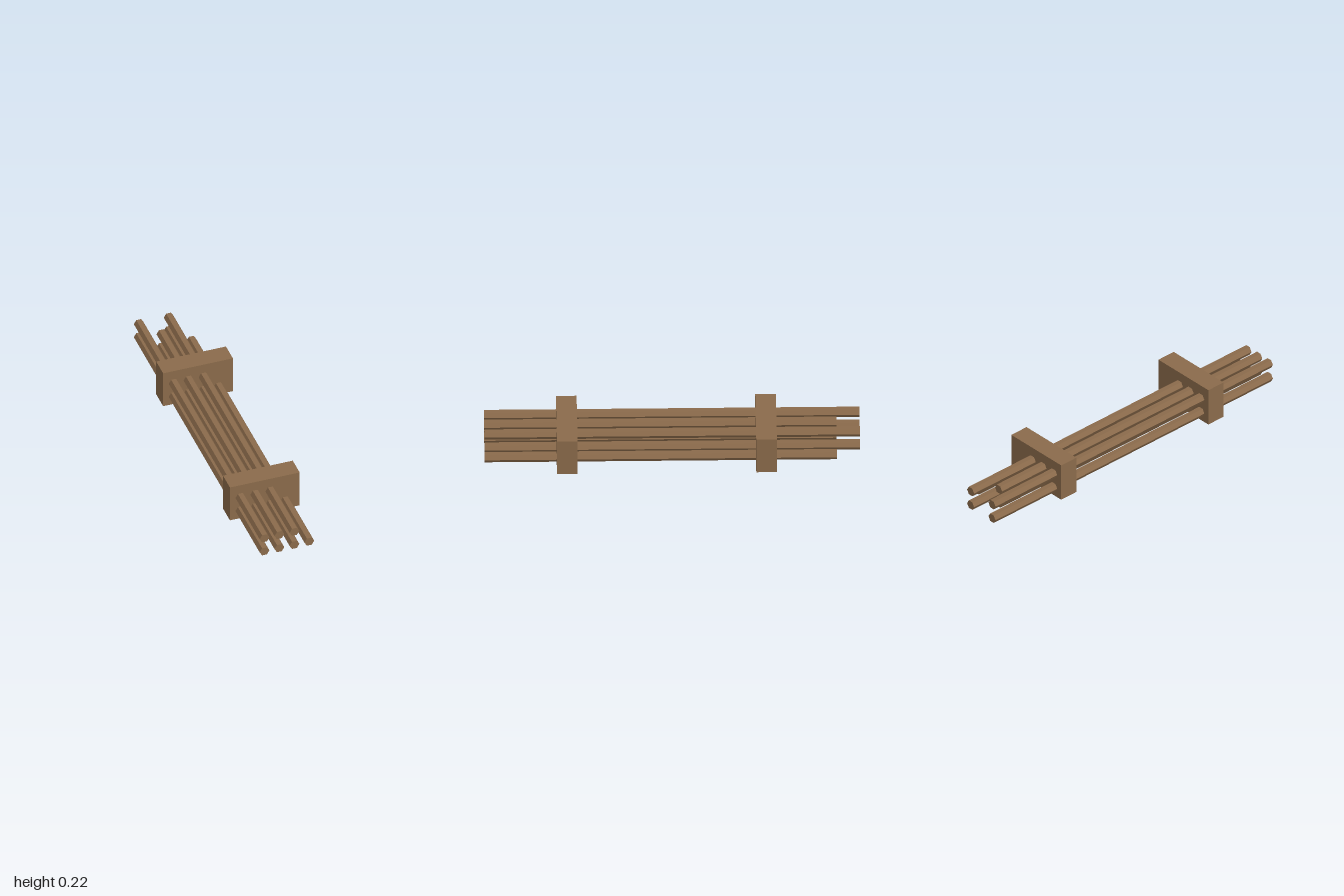
import * as THREE from 'three';

export function createModel() {
  const model = new THREE.Group();
  const wood = new THREE.MeshStandardMaterial({ color: 0x8b6b4b, flatShading: true });
  wood.name = 'brown wood';

  // Hexagonal rod along z, with its corners pointing to the sides
  function addRod(name, x, y, zBack) {
    const length = 1 - zBack;
    const geometry = new THREE.CylinderGeometry(0.0275, 0.0275, length, 6);
    geometry.rotateY(Math.PI / 6).rotateX(Math.PI / 2);
    const rod = new THREE.Mesh(geometry, wood);
    rod.position.set(x, y, (1 + zBack) / 2);
    rod.name = name;
    model.add(rod);
  }

  // Two rows of rods; every second column stops short at the back
  const columns = [-0.138, -0.054, 0.031, 0.115];
  columns.forEach((x, i) => {
    const zBack = i % 2 ? -0.876 : -1;
    addRod(`lowerRod${i + 1}`, x, 0.054, zBack);
    if (i < 3) addRod(`upperRod${i + 1}`, x, 0.1415, zBack);
  });

  // Blocks that hold the bundle together
  for (const [name, z] of [['frontBlock', 0.561], ['backBlock', -0.5]]) {
    const block = new THREE.Mesh(new THREE.BoxGeometry(0.394, 0.22, 0.11), wood);
    block.position.set(0, 0.11, z);
    block.name = name;
    model.add(block);
  }

  return model;
}
